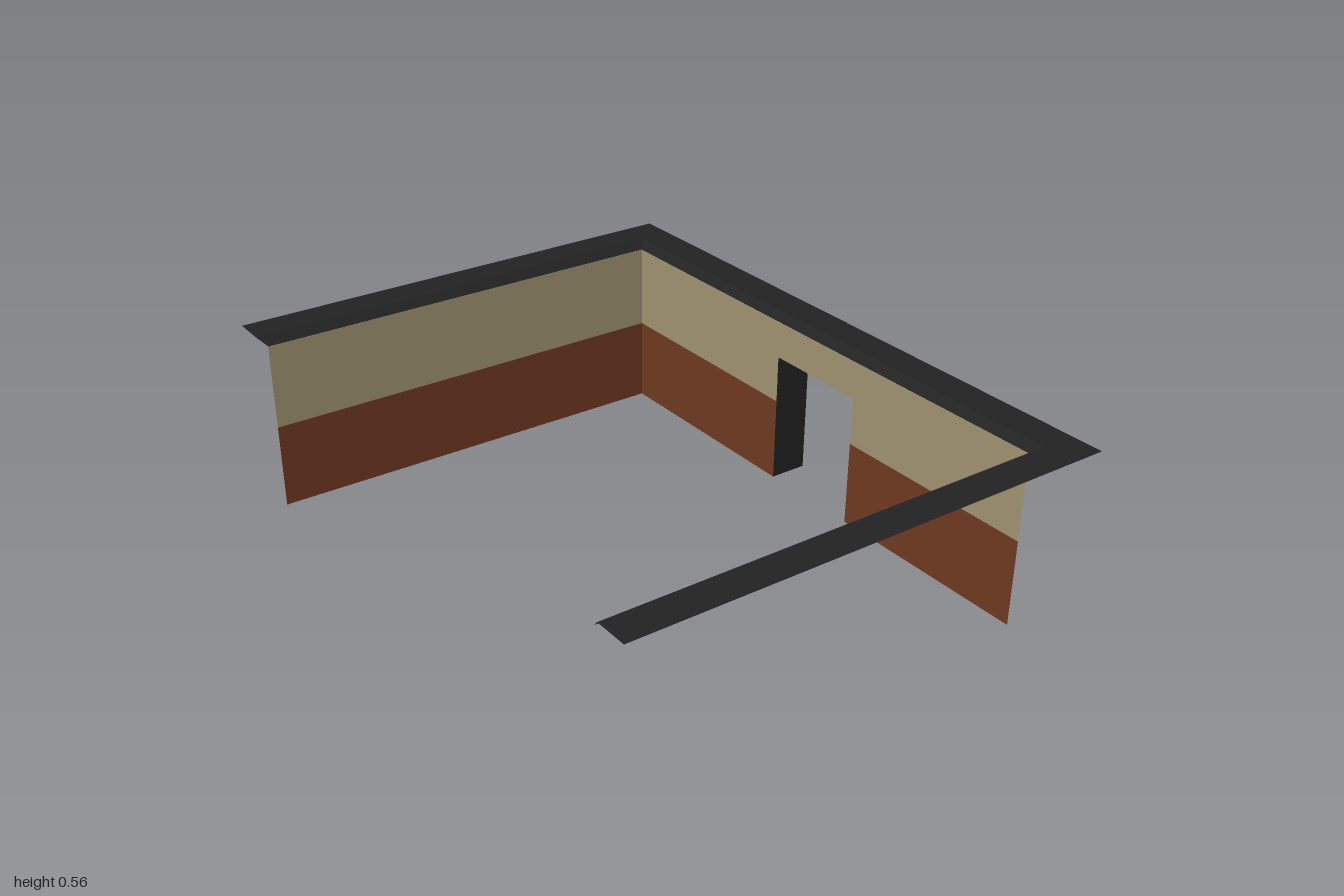
import * as THREE from 'three';

const sheet = (name, hex) => {
  const m = new THREE.MeshStandardMaterial({ color: hex, side: THREE.DoubleSide });
  m.name = name;
  return m;
};

export function createModel() {
  const tan = sheet('tanPlaster', 0xa09271);
  const brown = sheet('brownPanel', 0x6f3921);
  const black = sheet('blackTrim', 0x222222);
  const group = new THREE.Group();
  group.name = 'roomCorner';

  const add = (name, geometry, material) => {
    const mesh = new THREE.Mesh(geometry, material);
    mesh.name = name;
    group.add(mesh);
    return mesh;
  };
  const outline = (points) =>
    new THREE.ShapeGeometry(new THREE.Shape(points.map(([x, y]) => new THREE.Vector2(x, y))));
  const rect = (x0, x1, y0, y1) => outline([[x0, y0], [x1, y0], [x1, y1], [x0, y1]]);
  // Four corners in counter-clockwise order
  const quad = (...corners) => {
    const g = new THREE.BufferGeometry();
    g.setAttribute('position', new THREE.Float32BufferAttribute(corners.flat(), 3));
    g.setIndex([0, 1, 2, 0, 2, 3]);
    g.computeVertexNormals();
    return g;
  };

  const wallX = 0.62, wallZ = 0.87, left = -0.72;
  const split = 0.268, wallTop = 0.535, trimTop = 0.561;
  const doorA = -0.197, doorB = 0.145, doorTop = 0.418;

  // Back wall
  add('backWallLower', rect(left, wallX, 0, split).translate(0, 0, -wallZ), brown);
  add('backWallUpper', rect(left, wallX, split, wallTop).translate(0, 0, -wallZ), tan);

  // Side wall with a doorway, drawn flat and turned to face +x
  const toSide = (g) => g.rotateY(Math.PI / 2).translate(wallX, 0, 0);
  add('sideWallLowerFront', toSide(rect(-wallZ, doorA, 0, split)), brown);
  add('sideWallLowerBack', toSide(rect(doorB, wallZ, 0, split)), brown);
  add('sideWallUpper', toSide(outline([
    [-wallZ, split], [doorA, split], [doorA, doorTop], [doorB, doorTop],
    [doorB, split], [wallZ, split], [wallZ, wallTop], [-wallZ, wallTop],
  ])), tan);

  // Door leaf standing out from the doorway
  add('door', rect(wallX, 0.742, 0, 0.415).translate(0, 0, -doorB), black);

  // Flat U-shaped trim on top of the walls
  const end = -0.743, outX = 0.743, inX = 0.642, inZ = 0.898;
  add('trimTop', outline([
    [end, -1], [outX, -1], [outX, 1], [end, 1],
    [end, inZ], [inX, inZ], [inX, -inZ], [end, -inZ],
  ]).rotateX(-Math.PI / 2).translate(0, trimTop, 0), black);

  // Sloping inner faces of the trim
  const lowZ = 0.872;
  add('trimSlopeBack', quad(
    [-0.718, wallTop, -lowZ], [wallX, wallTop, -lowZ],
    [inX, trimTop, -inZ], [end, trimTop, -inZ]), black);
  add('trimSlopeSide', quad(
    [wallX, wallTop, -lowZ], [wallX, wallTop, lowZ],
    [inX, trimTop, inZ], [inX, trimTop, -inZ]), black);
  add('trimSlopeFront', quad(
    [0.717, wallTop, lowZ], [-0.733, wallTop, lowZ],
    [end, trimTop, inZ], [outX, trimTop, inZ]), black);

  return group;
}
